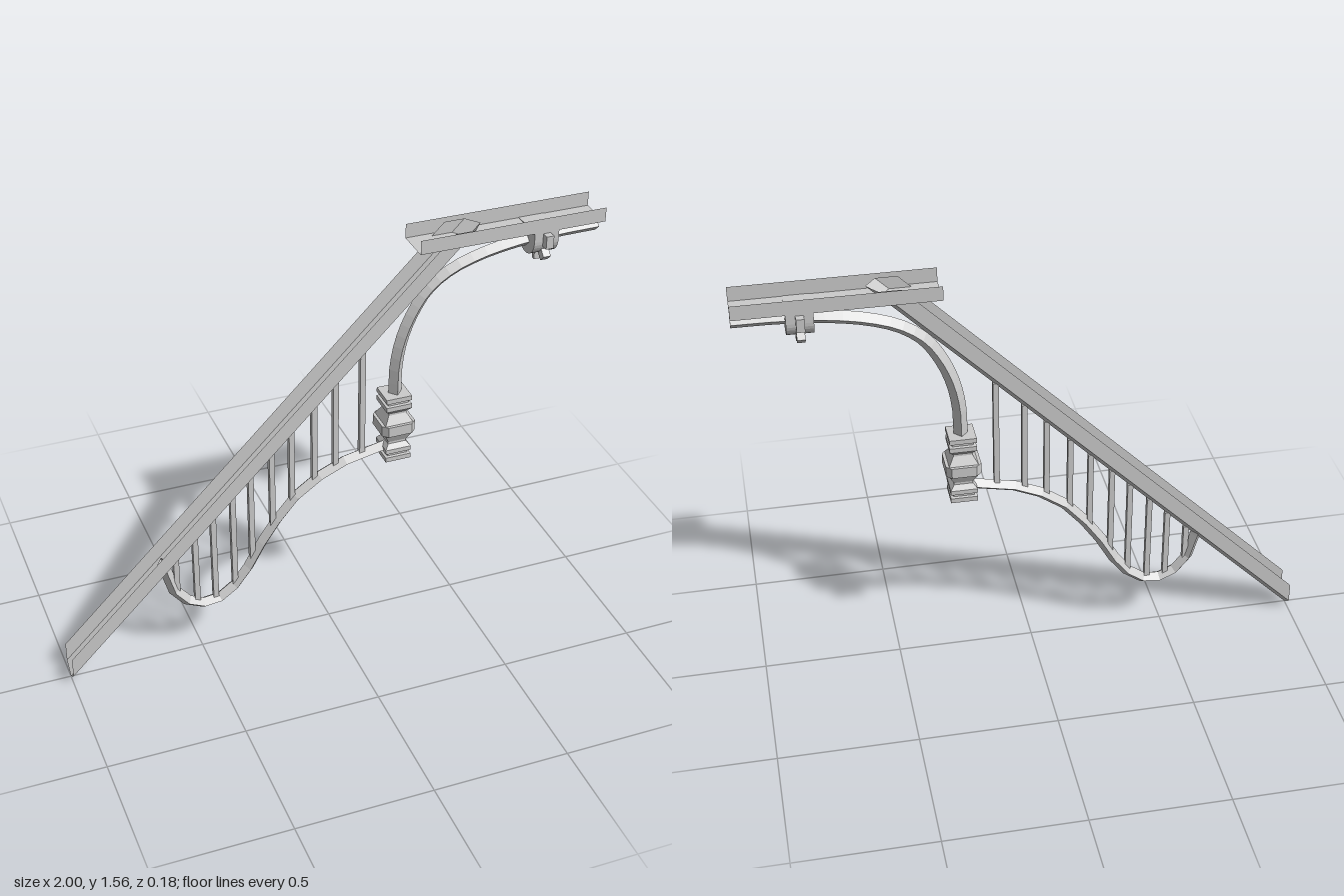
import * as THREE from 'three';

const solid = new THREE.MeshStandardMaterial({ color: 0xcccccc, flatShading: true });
const sheetMat = new THREE.MeshStandardMaterial({ color: 0xcccccc, flatShading: true, side: THREE.DoubleSide });

// Skin a list of equal-length cross-sections (arrays of [x, y, z])
function loft(sections, closed) {
  const n = sections[0].length, index = [];
  for (let i = 0; i < sections.length - 1; i++) {
    for (let j = 0; j < (closed ? n : n - 1); j++) {
      const k = (j + 1) % n, a = i * n, b = a + n;
      index.push(a + j, a + k, b + k, a + j, b + k, b + j);
    }
  }
  const g = new THREE.BufferGeometry();
  g.setAttribute('position', new THREE.Float32BufferAttribute(sections.flat(2), 3));
  g.setIndex(index);
  g.computeVertexNormals();
  return g;
}

// Diamond-section bar following a path in the XY plane
function diamondBar(path, half, halfZ) {
  return loft(path.map(([x, y], i) => {
    const p = path[Math.max(i - 1, 0)], q = path[Math.min(i + 1, path.length - 1)];
    const len = Math.hypot(q[0] - p[0], q[1] - p[1]);
    const nx = -(q[1] - p[1]) / len * half, ny = (q[0] - p[0]) / len * half;
    return [[x + nx, y + ny, 0], [x, y, halfZ], [x - nx, y - ny, 0], [x, y, -halfZ]];
  }), true);
}

// Height of a polyline path at x
function heightAt(path, x) {
  const i = path.findIndex((p, k) => k > 0 && p[0] >= x);
  const [a, b] = [path[i - 1], path[i]];
  return a[1] + (b[1] - a[1]) * (x - a[0]) / (b[0] - a[0]);
}

export function createModel() {
  const model = new THREE.Group();
  const add = (name, geometry, material = solid, parent = model) => {
    const mesh = new THREE.Mesh(geometry, material);
    mesh.name = name;
    parent.add(mesh);
    return mesh;
  };

  // Sloping handrail beam: thin trough with a V floor, cut upright below and level above
  const trough = [[0.115, 0.048], [0.04, 0.048], [0.002, 0], [0.04, -0.048], [0.115, -0.048]];
  add('slopingBeam', loft([
    trough.map(([h, z]) => [-1, h, z]),
    trough.map(([h, z]) => [0.555 - h, 1.555, z]),
  ], false), sheetMat);

  // Level rail: open U channel
  const channel = [[1.563, 0.066], [1.51, 0.066], [1.51, -0.066], [1.563, -0.066]];
  add('levelRail', loft([0.305, 1].map(x => channel.map(([y, z]) => [x, y, z])), false), sheetMat);

  // Curved bars
  const lower = [[-0.632, 0.42], [-0.623, 0.382], [-0.596, 0.286], [-0.548, 0.227], [-0.489, 0.2],
    [-0.425, 0.207], [-0.366, 0.249], [-0.313, 0.318], [-0.259, 0.414], [-0.2, 0.5],
    [-0.126, 0.586], [-0.035, 0.65], [0.061, 0.692], [0.23, 0.727]];
  add('lowerCurvedBar', diamondBar(lower, 0.021, 0.027), sheetMat);

  const upperCurve = new THREE.CatmullRomCurve3([[0.25, 0.93], [0.254, 1.06], [0.275, 1.163],
    [0.313, 1.255], [0.366, 1.334], [0.447, 1.393], [0.559, 1.433], [0.7, 1.458], [0.848, 1.469],
    [1, 1.471]].map(([x, y]) => new THREE.Vector3(x, y, 0)));
  add('upperCurvedBar', diamondBar(upperCurve.getPoints(22).map(p => [p.x, p.y]), 0.025, 0.027), sheetMat);

  // Balusters between the lower bar and the beam
  const balusters = new THREE.Group();
  balusters.name = 'balusters';
  model.add(balusters);
  for (const x of [-0.585, -0.511, -0.441, -0.366, -0.297, -0.217, -0.142, -0.056, 0.024, 0.125]) {
    const y0 = heightAt(lower, x), y1 = x + 1.008;
    add('baluster', new THREE.BoxGeometry(0.02, y1 - y0, 0.02), solid, balusters)
      .position.set(x, (y0 + y1) / 2, 0);
  }

  // Square stepped newel drop: [half width, height]
  const post = new THREE.Group();
  post.name = 'newelDrop';
  post.position.x = 0.249;
  model.add(post);
  const profile = [[0, 0.658], [0.024, 0.68], [0.048, 0.68], [0.048, 0.698], [0.038, 0.7], [0.038, 0.711],
    [0.048, 0.713], [0.048, 0.73], [0.034, 0.748], [0.034, 0.756], [0.052, 0.793], [0.052, 0.836],
    [0.034, 0.868], [0.034, 0.876], [0.048, 0.892], [0.048, 0.91], [0.038, 0.912], [0.038, 0.923],
    [0.048, 0.925], [0.048, 0.943], [0, 0.943]];
  add('steppedPost', new THREE.LatheGeometry(
    profile.map(([r, y]) => new THREE.Vector2(r * Math.SQRT2, y)), 4, Math.PI / 4), solid, post);

  // Chamfered collar round the middle of the drop
  const a = 0.063, c = 0.044;
  const collarShape = new THREE.Shape([[a, -c], [a, c], [c, a], [-c, a], [-a, c], [-a, -c], [-c, -a], [c, -a]]
    .map(([x, y]) => new THREE.Vector2(x, y)));
  const collar = new THREE.ExtrudeGeometry(collarShape, { depth: 0.04, bevelEnabled: false });
  add('collar', collar.rotateX(-Math.PI / 2).translate(0, 0.795, 0), solid, post);

  // Clamp: half-round body with radial pegs
  const clamp = new THREE.Group();
  clamp.name = 'clamp';
  clamp.position.set(0.777, 1.475, 0);
  model.add(clamp);
  const bodyShape = new THREE.Shape();
  bodyShape.moveTo(0.065, 0.037);
  bodyShape.lineTo(-0.065, 0.037);
  bodyShape.lineTo(-0.065, 0);
  bodyShape.absarc(0, 0, 0.065, Math.PI, Math.PI * 2, false);
  const body = new THREE.ExtrudeGeometry(bodyShape, { depth: 0.092, bevelEnabled: false, curveSegments: 8 });
  add('clampBody', body.translate(0, 0, -0.046).rotateY(Math.PI / 2), solid, clamp);

  for (const side of [-1, 1]) {
    add('sidePeg', new THREE.BoxGeometry(0.028, 0.048, 0.034), solid, clamp)
      .position.set(0, 0.006, side * 0.075);
    const peg = add('slantedPeg', new THREE.BoxGeometry(0.028, 0.04, 0.032), solid, clamp);
    peg.position.set(0, -0.052, side * 0.052);
    peg.rotation.x = -side * Math.PI / 4;
  }
  add('bottomPeg', new THREE.BoxGeometry(0.028, 0.04, 0.016), solid, clamp).position.y = -0.077;

  return model;
}
